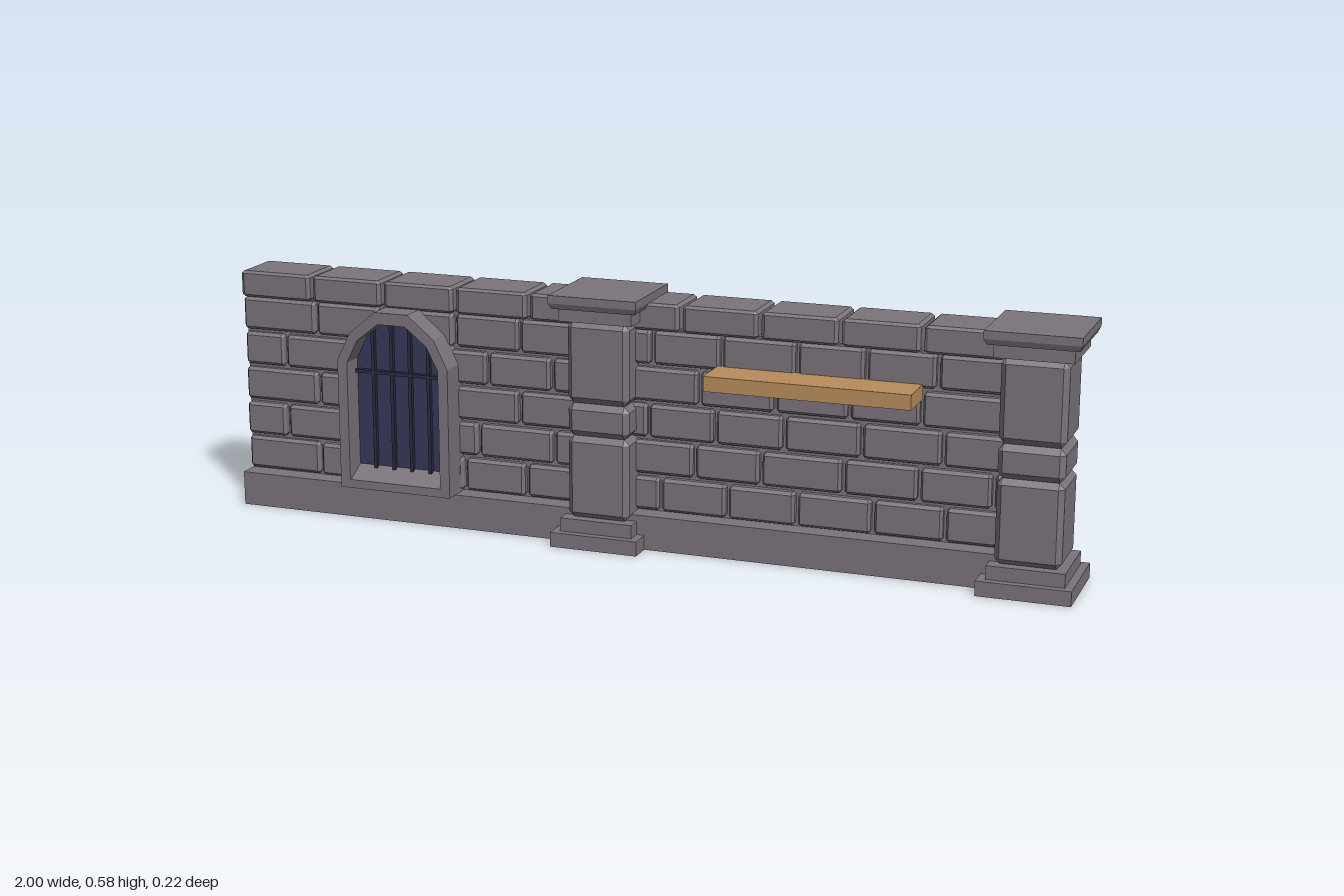
import * as THREE from 'three';
import { ConvexGeometry } from 'three/addons/geometries/ConvexGeometry.js';

const mat = (color) => new THREE.MeshStandardMaterial({ color, flatShading: true });
const stone = mat(0x7b747b);
const wood = mat(0xb98d5c);
const glass = mat(0x37375a);
const iron = mat(0x2b2b40);

function add(parent, name, geometry, material = stone) {
  const mesh = new THREE.Mesh(geometry, material);
  mesh.name = name;
  parent.add(mesh);
  return mesh;
}

// Plain box given by its limits
function box(x0, x1, y0, y1, z0, z1) {
  return new THREE.BoxGeometry(x1 - x0, y1 - y0, z1 - z0)
    .translate((x0 + x1) / 2, (y0 + y1) / 2, (z0 + z1) / 2);
}

// Box with all edges cut; cx, cy, cz are the cuts along each axis
function cutBox(x0, x1, y0, y1, z0, z1, cx, cy, cz) {
  const points = [];
  const h = [(x1 - x0) / 2, (y1 - y0) / 2, (z1 - z0) / 2];
  for (const sx of [-1, 1]) for (const sy of [-1, 1]) for (const sz of [-1, 1]) {
    points.push(
      new THREE.Vector3(sx * h[0], sy * (h[1] - cy), sz * (h[2] - cz)),
      new THREE.Vector3(sx * (h[0] - cx), sy * h[1], sz * (h[2] - cz)),
      new THREE.Vector3(sx * (h[0] - cx), sy * (h[1] - cy), sz * h[2]));
  }
  return new ConvexGeometry(points)
    .translate((x0 + x1) / 2, (y0 + y1) / 2, (z0 + z1) / 2);
}

// Repeatable numbers from 0 to 1
function seeded(seed) {
  return () => (seed = (seed * 16807) % 2147483647) / 2147483647;
}

function createPillar(x) {
  const g = new THREE.Group();
  g.name = 'pillar';
  const zc = -0.006;
  const slab = (name, half, y0, y1) =>
    add(g, name, box(-half, half, y0, y1, zc - half, zc + half));
  slab('plinth', 0.104, 0, 0.034);
  slab('lowerCollar', 0.086, 0.034, 0.065);
  slab('shaftCore', 0.056, 0.06, 0.53);
  for (const [y0, y1, cut] of [[0.065, 0.256, 0.013], [0.256, 0.332, 0.014], [0.332, 0.522, 0.015]]) {
    const h = 0.073;
    add(g, 'shaftBlock', cutBox(-h, h, y0, y1, zc - h, zc + h, 0.012, cut, 0.012));
  }
  slab('upperCollar', 0.086, 0.522, 0.553);
  // Cap with a small slope under its rim
  const cap = new THREE.LatheGeometry(
    [[0, 0.552], [0.098, 0.552], [0.104, 0.565], [0.104, 0.583], [0, 0.583]]
      .map(([r, y]) => new THREE.Vector2(r * Math.SQRT2, y)), 4, Math.PI / 4);
  add(g, 'cap', cap.translate(0, 0, zc));
  g.position.x = x;
  return g;
}

// Arched outline, symmetric about x = 0
function archPoints(half, bottom, spring, top) {
  const rise = top - spring;
  const right = [[half, bottom], [half, spring], [half * 0.76, spring + rise * 0.56], [half * 0.3, top]];
  const left = right.map(([x, y]) => [-x, y]).reverse();
  return [...right, ...left].map(([x, y]) => new THREE.Vector2(x, y));
}

function createWindow() {
  const g = new THREE.Group();
  g.name = 'window';
  const frame = new THREE.Shape(archPoints(0.139, 0.08, 0.385, 0.505));
  const inner = archPoints(0.115, 0.1, 0.38, 0.477);
  frame.holes.push(new THREE.Path(inner));
  add(g, 'windowFrame', new THREE.ExtrudeGeometry(frame, { depth: 0.08, bevelEnabled: false })
    .translate(0, 0, -0.004));
  add(g, 'windowPane', new THREE.ShapeGeometry(new THREE.Shape(inner)).translate(0, 0, 0.022), glass);
  // Sloping sill
  const sill = new THREE.Shape([[0, 0.1], [0.07, 0.1], [0.02, 0.126], [0, 0.126]]
    .map(([z, y]) => new THREE.Vector2(z, y)));
  add(g, 'windowSill', new THREE.ExtrudeGeometry(sill, { depth: 0.23, bevelEnabled: false })
    .rotateY(-Math.PI / 2).translate(0.115, 0, 0));
  // Iron grille
  for (const x of [-0.07, -0.023, 0.023, 0.07]) {
    add(g, 'windowBar', box(x - 0.004, x + 0.004, 0.12, Math.abs(x) > 0.05 ? 0.455 : 0.475, 0.022, 0.032), iron);
  }
  add(g, 'windowCrossbar', box(-0.115, 0.115, 0.348, 0.356, 0.022, 0.034), iron);
  g.position.x = -0.586;
  return g;
}

export function createModel() {
  const model = new THREE.Group();
  model.name = 'stoneWall';
  const back = -0.11, end = 0.84;

  add(model, 'wallCore', box(-1, end, 0.08, 0.505, back, -0.004));
  add(model, 'wallBase', box(-1, end, 0, 0.08, back, 0.045));

  // Staggered brick courses
  const bricks = new THREE.Group();
  bricks.name = 'bricks';
  model.add(bricks);
  const random = seeded(37);
  const pitch = 0.085;
  for (let row = 0; row < 5; row++) {
    const y = 0.08 + row * pitch;
    let x = -1;
    let width = row % 2 ? 0.105 : 0.19;
    while (x < end - 0.03) {
      const right = Math.min(x + width, end);
      const front = 0.012 + random() * 0.005;
      add(bricks, 'brick',
        cutBox(x + (x > -1 ? 0.004 : 0), right - 0.004, y + 0.004, y + pitch - 0.004, -0.03, front, 0.006, 0.007, 0.008));
      x = right;
      width = 0.15 + random() * 0.04;
    }
  }

  // Coping stones along the top
  const coping = new THREE.Group();
  coping.name = 'coping';
  model.add(coping);
  for (let i = 0; i < 10; i++) {
    const x = -1 + i * 0.1825;
    add(coping, 'copingStone',
      cutBox(x + (i ? 0.004 : 0), Math.min(x + 0.1785, end), 0.503, 0.565, back, 0.021, 0.008, 0.006, 0.006));
  }

  model.add(createWindow());
  for (const x of [-0.085, 0.896]) model.add(createPillar(x));
  add(model, 'shelf', box(0.18, 0.645, 0.4, 0.434, 0.01, 0.112), wood);
  return model;
}
